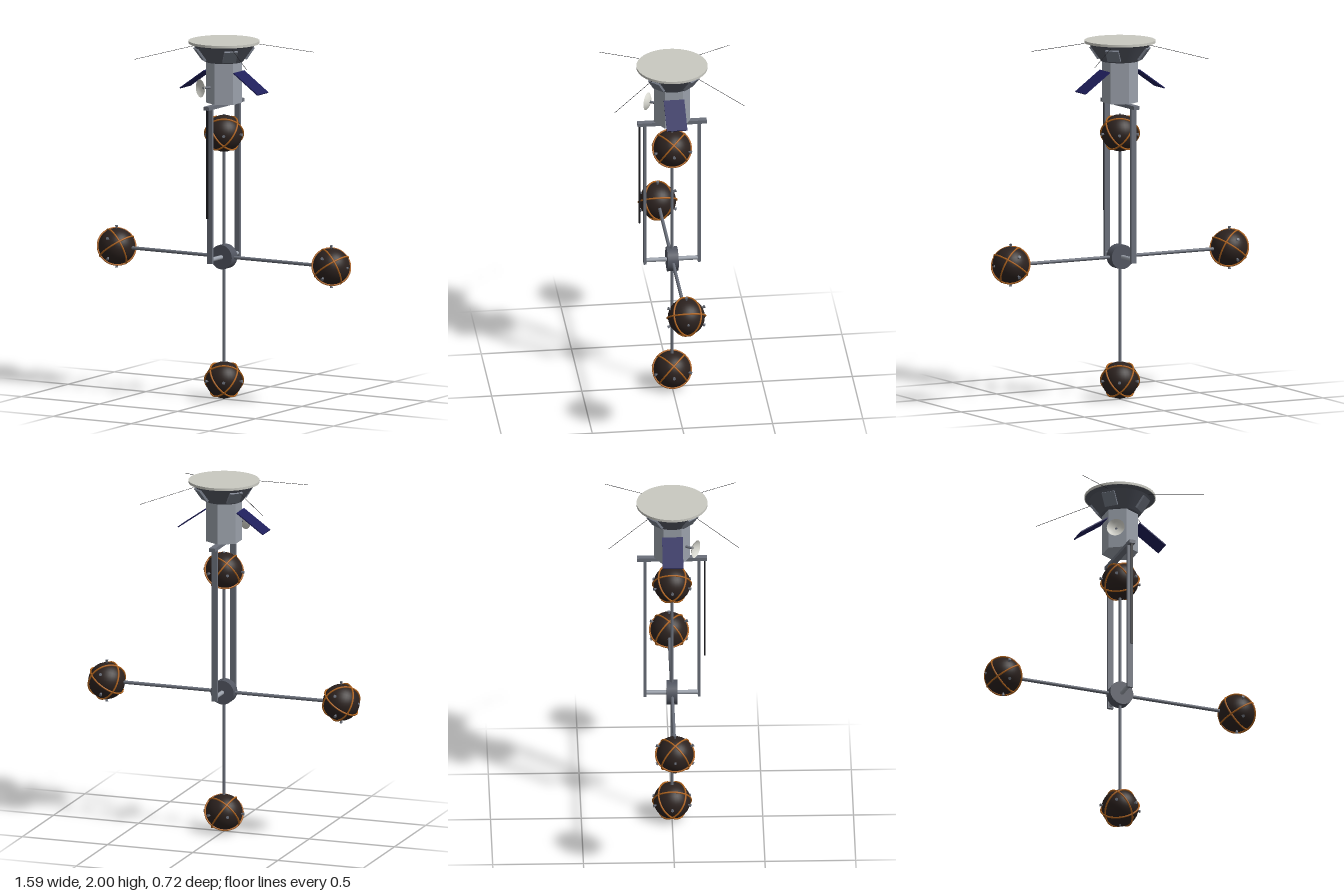
import * as THREE from 'three';
import { toCreasedNormals } from 'three/addons/utils/BufferGeometryUtils.js';

const mat = (name, color, side = THREE.FrontSide) => {
  const m = new THREE.MeshStandardMaterial({ color, side });
  m.name = name;
  return m;
};

export function createModel() {
  const root = new THREE.Group();
  root.name = 'station';
  const white = mat('off white', 0xc9c9c1);
  const dishWhite = mat('dish white', 0xdadad2, THREE.DoubleSide);
  const hull = mat('hull grey', 0x9ba1ab);
  const slate = mat('slate', 0x525661);
  const strut = mat('strut grey', 0x6b707b);
  const plate = mat('plate grey', 0x757b87);
  const blue = mat('solar blue', 0x1e1e5a);
  const black = mat('cable black', 0x1c1c20);
  const brown = mat('dark brown', 0x2c221f);
  const orange = mat('strap orange', 0xb0641e);

  const add = (parent, name, geo, material, x = 0, y = 0, z = 0) => {
    const m = new THREE.Mesh(geo, material);
    m.name = name;
    m.position.set(x, y, z);
    parent.add(m);
    return m;
  };
  const UP = new THREE.Vector3(0, 1, 0);
  // Round bar between two points
  const rod = (parent, name, a, b, r, material, r2 = r, sides = 10) => {
    const p = new THREE.Vector3(...a), q = new THREE.Vector3(...b);
    const d = q.clone().sub(p);
    const m = add(parent, name, new THREE.CylinderGeometry(r2, r, d.length(), sides), material);
    m.position.copy(p).add(q).multiplyScalar(0.5);
    m.quaternion.setFromUnitVectors(UP, d.normalize());
    return m;
  };

  // Top disc and flared collar
  add(root, 'topDisc', new THREE.CylinderGeometry(0.196, 0.196, 0.014, 48), white, 0, 1.993, 0);
  const flare = [[0, 1.885], [0.105, 1.885], [0.168, 1.975], [0.192, 1.986], [0, 1.986]]
    .map(p => new THREE.Vector2(...p));
  add(root, 'collar', toCreasedNormals(new THREE.LatheGeometry(flare, 32), 0.4), slate);

  // Collar plates and whip antennas on the diagonals
  for (let i = 0; i < 4; i++) {
    const g = new THREE.Group();
    g.name = 'collarSector';
    g.rotation.y = Math.PI / 4 + i * Math.PI / 2;
    root.add(g);
    add(g, 'collarPlate', new THREE.BoxGeometry(0.075, 0.08, 0.016), plate, 0, 1.93, 0.136).rotation.x = 0.625;
    rod(g, 'whipAntenna', [0, 1.98, 0.16], [0, 1.915, 0.508], 0.0012, black, 0.0012, 6);
  }

  // Hexagonal body
  add(root, 'body', toCreasedNormals(new THREE.CylinderGeometry(0.1, 0.1, 0.232, 6), 0.3), hull, 0, 1.77, 0);

  // Tilted solar panels
  for (const s of [-1, 1]) {
    add(root, 'solarPanel', new THREE.BoxGeometry(0.19, 0.006, 0.114), blue, s * 0.172, 1.777, 0)
      .rotation.z = -s * 0.617;
  }

  // Dish on the front right face
  const dish = new THREE.Group();
  dish.name = 'dish';
  dish.position.y = 1.745;
  dish.rotation.y = -Math.PI / 6;
  root.add(dish);
  const bowl = [[0, 0], [0.02, 0.003], [0.037, 0.01], [0.05, 0.02]].map(p => new THREE.Vector2(...p));
  add(dish, 'dishBowl', new THREE.LatheGeometry(bowl, 28), dishWhite, 0, 0, 0.13).rotation.x = Math.PI / 2;
  rod(dish, 'dishStem', [0, 0, 0.08], [0, 0, 0.132], 0.007, strut);

  // Yoke with two legs and a hanging cable
  add(root, 'yokeBar', new THREE.BoxGeometry(0.034, 0.02, 0.384), strut, 0, 1.645, 0);
  for (const s of [-1, 1]) {
    add(root, 'yokeLeg', new THREE.BoxGeometry(0.032, 0.865, 0.016), strut, 0, 1.2075, s * 0.15);
  }
  add(root, 'cable', new THREE.BoxGeometry(0.012, 0.61, 0.009), black, 0, 1.335, 0.18);

  // Hub and axle
  const hubY = 0.795, reach = 0.688;
  add(root, 'hub', new THREE.CylinderGeometry(0.068, 0.068, 0.06, 24), slate, 0, hubY, 0).rotation.x = Math.PI / 2;
  rod(root, 'axle', [0, hubY, -0.15], [0, hubY, 0.15], 0.012, hull, 0.012, 14);

  // Strap planes: three perpendicular circles about the ball's own diagonal
  const c = 1 / Math.sqrt(3), b = Math.SQRT1_2, a = Math.sqrt(2 / 3);
  const strapNormals = [[a, c, 0], [-a / 2, c, b], [-a / 2, c, -b]].map(n => new THREE.Vector3(...n));
  const FRONT = new THREE.Vector3(0, 0, 1);
  const makeBall = (x, y, turn, outward) => {
    const g = new THREE.Group();
    g.name = 'pod';
    g.position.set(x, y, 0);
    g.rotation.z = turn;
    root.add(g);
    add(g, 'podShell', new THREE.SphereGeometry(0.102, 32, 22), brown);
    for (const n of strapNormals) {
      add(g, 'strap', new THREE.TorusGeometry(0.106, 0.0048, 8, 48), orange)
        .quaternion.setFromUnitVectors(FRONT, n);
    }
    // Nozzles around the waist and one at the outer pole
    for (let i = 0; i < 6; i++) {
      const t = i * Math.PI / 3, u = Math.cos(t), w = Math.sin(t);
      rod(g, 'nozzle', [u * 0.098, 0, w * 0.098], [u * 0.118, 0, w * 0.118], 0.004, strut, 0.009, 8);
    }
    rod(g, 'poleNozzle', [0, outward * 0.095, 0], [0, outward * 0.107, 0], 0.009, strut, 0.006, 8);
  };

  // Four arms, each ending in a strapped pod
  for (const [dx, dy] of [[1, 0], [-1, 0], [0, 1], [0, -1]]) {
    rod(root, 'arm', [dx * 0.06, hubY + dy * 0.06, 0],
      [dx * (reach - 0.08), hubY + dy * (reach - 0.08), 0], 0.0095, strut);
    makeBall(dx * reach, hubY + dy * reach, dx ? -Math.PI / 2 : 0, dx || dy);
  }
  return root;
}
